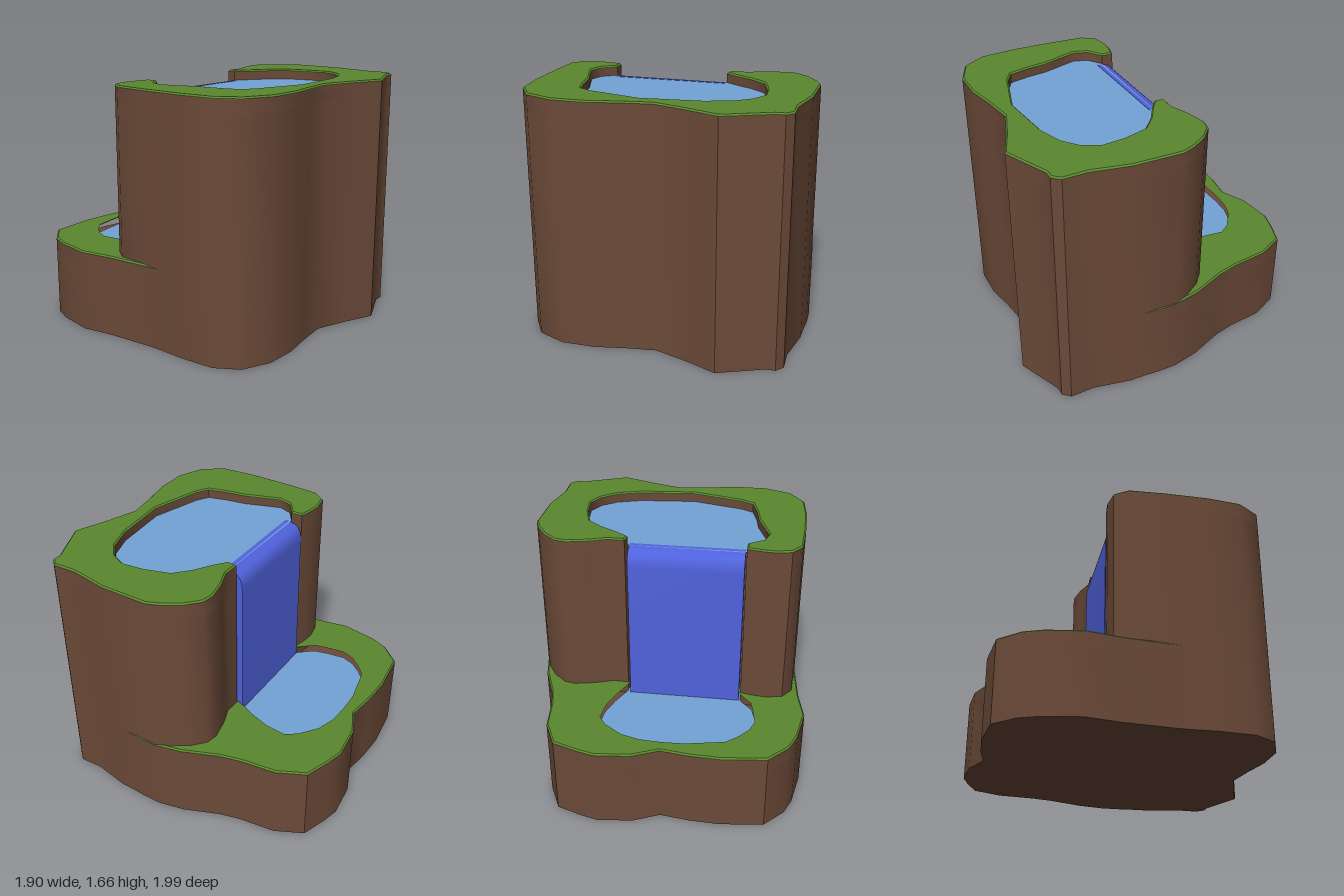
import * as THREE from 'three';
import { toCreasedNormals } from 'three/addons/utils/BufferGeometryUtils.js';

const material = (color) => new THREE.MeshStandardMaterial({ color });
const soil = material(0x6b4a38);
const grass = material(0x5a882e);
const water = material(0x72a3d6);
const fallWater = material(0x5062dc);

const TALL = 1.66, LOW = 0.55;           // grass heights
const TALL_WATER = 1.59, LOW_WATER = 0.49;
const BEVEL = 0.01;

// Plan outlines as [x, z]
const tallOuter = [
  [-0.5, -0.18], [-0.58, -0.2], [-0.68, -0.21], [-0.79, -0.19], [-0.855, -0.1], [-0.87, 0.14],
  [-0.875, 0.44], [-0.855, 0.67], [-0.76, 0.82], [-0.57, 0.9], [-0.35, 0.9], [-0.15, 0.86],
  [0.06, 0.83], [0.28, 0.905], [0.49, 0.99], [0.63, 0.93], [0.79, 0.86], [0.85, 0.86],
  [0.895, 0.81], [0.89, 0.65], [0.94, 0.4], [0.945, 0.07], [0.91, -0.02], [0.84, -0.13],
  [0.75, -0.21], [0.67, -0.225], [0.53, -0.195], [0.41, -0.15], [0.3, -0.155],
];
// Upper pool edge, from one side of the spillway round to the other
const upperPool = [
  [0.29, -0.09], [0.37, -0.03], [0.49, 0.045], [0.59, 0.135], [0.64, 0.305], [0.655, 0.46],
  [0.6, 0.565], [0.5, 0.645], [0.33, 0.7], [-0.06, 0.735], [-0.41, 0.635], [-0.495, 0.585],
  [-0.53, 0.45], [-0.55, 0.31], [-0.59, 0.19], [-0.63, 0.065], [-0.6, -0.03], [-0.5, -0.1],
];
const lowOuter = [
  [-0.865, 0.38], [-0.876, 0.15], [-0.905, -0.155], [-0.948, -0.385], [-0.905, -0.63], [-0.855, -0.755],
  [-0.725, -0.895], [-0.435, -0.93], [-0.23, -0.922], [-0.035, -0.895], [0.14, -0.975], [0.375, -1],
  [0.49, -0.97], [0.66, -0.91], [0.75, -0.725], [0.78, -0.48], [0.815, -0.34], [0.91, -0.105],
  [0.948, 0.07], [0.949, 0.2], [0.935, 0.39],
];
const lowerPool = [
  [-0.5, -0.05], [-0.5, -0.19], [-0.59, -0.295], [-0.61, -0.38], [-0.63, -0.52], [-0.595, -0.615],
  [-0.525, -0.7], [-0.45, -0.765], [-0.185, -0.82], [-0.03, -0.825], [0.115, -0.815], [0.245, -0.775],
  [0.37, -0.68], [0.425, -0.6], [0.41, -0.45], [0.365, -0.315], [0.3, -0.17], [0.3, -0.05],
];

const toVectors = (points) => points.map(([x, z]) => new THREE.Vector2(x, -z));

function planShape(points, hole) {
  const shape = new THREE.Shape(toVectors(points));
  if (hole) shape.holes.push(new THREE.Path(toVectors(hole)));
  return shape;
}

function add(group, name, geometry, mat) {
  const mesh = new THREE.Mesh(geometry, mat);
  mesh.name = name;
  group.add(mesh);
}

// Upright walls with smooth sides and sharp rims
function prism(shape, bottom, top) {
  const geometry = new THREE.ExtrudeGeometry(shape, { depth: top - bottom, bevelEnabled: false });
  geometry.rotateX(-Math.PI / 2).translate(0, bottom, 0);
  return toCreasedNormals(geometry, 0.7);
}

// Thin turf with a chamfered edge; its lower chamfer sinks into the soil
function turf(shape, top) {
  const geometry = new THREE.ExtrudeGeometry(shape, {
    depth: 0.004, bevelThickness: BEVEL, bevelSize: BEVEL, bevelOffset: -BEVEL, bevelSegments: 1,
  });
  return geometry.rotateX(-Math.PI / 2).translate(0, top - BEVEL - 0.004, 0);
}

function surface(points, y) {
  return new THREE.ShapeGeometry(planShape(points)).rotateX(-Math.PI / 2).translate(0, y, 0);
}

// Rounded sheet of water, extruded across the spillway
function fallGeometry(x0, x1) {
  const profile = new THREE.Shape();
  profile.moveTo(0.05, LOW_WATER - 0.02);
  profile.lineTo(0.19, LOW_WATER - 0.02);
  profile.lineTo(0.185, TALL_WATER - 0.12);
  profile.bezierCurveTo(0.185, TALL_WATER - 0.04, 0.15, TALL_WATER, 0.06, TALL_WATER + 0.002);
  profile.lineTo(0.05, TALL_WATER - 0.01);
  const geometry = new THREE.ExtrudeGeometry(profile, { depth: x1 - x0, bevelEnabled: false, curveSegments: 10 });
  geometry.rotateY(Math.PI / 2).translate(x0, 0, 0); // profile x becomes -z
  return toCreasedNormals(geometry, 0.6);
}

export function createModel() {
  const model = new THREE.Group();
  model.name = 'waterfallTerrain';

  // Tall cliff: solid core, then an open rim around the upper pool
  const cliffCore = planShape([...tallOuter, upperPool[0], upperPool[upperPool.length - 1]]);
  const cliffRim = planShape([...tallOuter, ...upperPool]);
  add(model, 'cliffBody', prism(cliffCore, 0, TALL_WATER - 0.03), soil);
  add(model, 'cliffRim', prism(cliffRim, TALL_WATER - 0.03, TALL - BEVEL), soil);
  add(model, 'cliffGrass', turf(cliffRim, TALL), grass);

  // Low ledge: solid core, then a rim with the lower pool cut out
  const ledgeRim = planShape(lowOuter, lowerPool);
  add(model, 'ledgeBody', prism(planShape(lowOuter), 0, LOW_WATER - 0.03), soil);
  add(model, 'ledgeRim', prism(ledgeRim, LOW_WATER - 0.03, LOW - BEVEL), soil);
  add(model, 'ledgeGrass', turf(ledgeRim, LOW), grass);

  // Water
  add(model, 'upperPool', surface(upperPool, TALL_WATER), water);
  add(model, 'lowerPool', surface(lowerPool, LOW_WATER), water);
  add(model, 'waterfall', fallGeometry(-0.49, 0.28), fallWater);

  return model;
}
